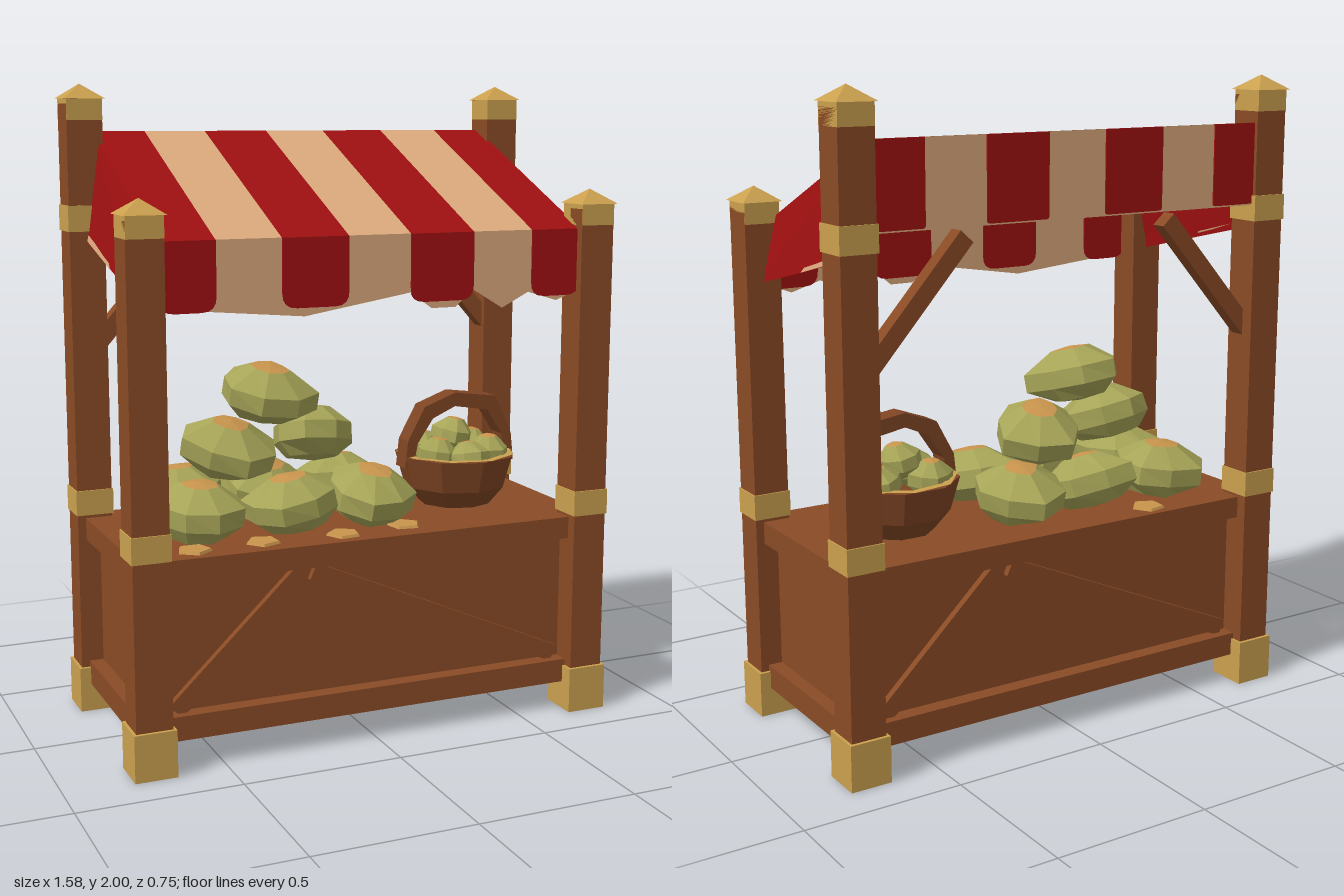
import * as THREE from 'three';

const mat = (name, color, side = THREE.FrontSide) => {
  const m = new THREE.MeshStandardMaterial({ color, side, flatShading: true });
  m.name = name;
  return m;
};
const wood = mat('wood', 0x8a4b25);
const gold = mat('gold', 0xcaa04e);
const red = mat('red cloth', 0xa01011, THREE.DoubleSide);
const tan = mat('tan cloth', 0xdca87c, THREE.DoubleSide);
const leaf = mat('cabbage green', 0xa6a457);
const tip = mat('cabbage tip', 0xc8944c);
const weave = mat('basket', 0x7f4523, THREE.DoubleSide);

function add(parent, name, geo, material, x = 0, y = 0, z = 0) {
  const m = new THREE.Mesh(geo, material);
  m.name = name;
  m.position.set(x, y, z);
  parent.add(m);
  return m;
}
const box = (p, name, material, w, h, d, x, y, z) =>
  add(p, name, new THREE.BoxGeometry(w, h, d), material, x, y, z);

// Flat cloth panel from four corners
function quad(p, name, material, ...c) {
  const g = new THREE.BufferGeometry().setFromPoints(
    [0, 1, 2, 0, 2, 3].map(i => new THREE.Vector3(...c[i])));
  g.computeVertexNormals();
  return add(p, name, g, material);
}

// Plank lying in the xy plane between two points
function plank(p, name, x1, y1, x2, y2, z, width, depth) {
  const m = box(p, name, wood, Math.hypot(x2 - x1, y2 - y1), width, depth, (x1 + x2) / 2, (y1 + y2) / 2, z);
  m.rotation.z = Math.atan2(y2 - y1, x2 - x1);
}

function makePost(name, x, z, height, bands) {
  const g = new THREE.Group();
  g.name = name;
  box(g, 'postShaft', wood, 0.112, height - 0.12, 0.108, 0, height / 2, 0);
  box(g, 'postFoot', gold, 0.13, 0.145, 0.13, 0, 0.0725, 0);
  for (const y of bands) box(g, 'postBand', gold, 0.12, 0.08, 0.118, 0, y, 0);
  box(g, 'postCap', gold, 0.112, 0.07, 0.112, 0, height - 0.075, 0);
  const peak = new THREE.ConeGeometry(0.064 * Math.SQRT2, 0.045, 4).rotateY(Math.PI / 4);
  add(g, 'postPeak', peak, gold, 0, height - 0.0225, 0);
  g.position.set(x, 0, z);
  return g;
}

function makeCounter() {
  const g = new THREE.Group();
  g.name = 'counter';
  box(g, 'counterBody', wood, 1.42, 0.53, 0.56, 0, 0.36, 0);
  box(g, 'counterTop', wood, 1.5, 0.03, 0.65, 0, 0.625, 0);
  box(g, 'counterBase', wood, 1.5, 0.02, 0.65, 0, 0.10, 0);
  for (const s of [-1, 1]) {
    // Long-side rails and the pair of diagonals, turned around for the back
    const side = new THREE.Group();
    side.name = s > 0 ? 'frontFrame' : 'backFrame';
    box(side, 'topRail', wood, 1.34, 0.07, 0.05, 0, 0.605, 0.305);
    box(side, 'bottomRail', wood, 1.34, 0.075, 0.05, 0, 0.1275, 0.305);
    plank(side, 'shortDiagonal', -0.64, 0.17, -0.24, 0.55, 0.288, 0.055, 0.03);
    plank(side, 'longDiagonal', -0.2, 0.55, 0.64, 0.18, 0.286, 0.055, 0.03);
    side.rotation.y = s > 0 ? 0 : Math.PI;
    g.add(side);
    // End rails
    box(g, 'endTopRail', wood, 0.05, 0.07, 0.54, s * 0.73, 0.605, 0);
    box(g, 'endBottomRail', wood, 0.05, 0.075, 0.54, s * 0.73, 0.1275, 0);
  }
  return g;
}

// Hanging cloth with a tan backing and red stripes on both faces
const EDGES = [-0.68, -0.51, -0.31, -0.1, 0.1, 0.31, 0.51, 0.68];
function makeValance(name, z, top, bottom, hem, round) {
  const g = new THREE.Group();
  g.name = name;
  const back = new THREE.Shape([[-0.68, top], ...hem, [0.68, top]].map(p => new THREE.Vector2(...p)));
  add(g, 'tanCloth', new THREE.ShapeGeometry(back), tan);
  for (let i = 0; i < 7; i += 2) {
    const a = EDGES[i], b = EDGES[i + 1], s = new THREE.Shape();
    s.moveTo(a, top);
    s.lineTo(a, bottom + round);
    s.quadraticCurveTo(a, bottom, a + round, bottom);
    s.lineTo(b - round, bottom);
    s.quadraticCurveTo(b, bottom, b, bottom + round);
    s.lineTo(b, top);
    add(g, 'redStripe', new THREE.ExtrudeGeometry(s, { depth: 0.008, bevelEnabled: false, curveSegments: 4 }), red, 0, 0, -0.004);
  }
  g.position.z = z;
  return g;
}

function makeAwning() {
  const g = new THREE.Group();
  g.name = 'awning';
  const back = [1.855, -0.345], front = [1.56, 0.335];
  for (let i = 0; i < 7; i++) {
    const a = EDGES[i], b = EDGES[i + 1];
    quad(g, 'roofStripe', i % 2 ? tan : red, [a, ...back], [a, ...front], [b, ...front], [b, ...back]);
  }
  g.add(makeValance('frontValance', 0.335, 1.56, 1.355,
    [[-0.68, 1.37], [-0.24, 1.33], [0.1, 1.385], [0.17, 1.335], [0.25, 1.335], [0.31, 1.385],
      [0.41, 1.325], [0.5, 1.37], [0.6, 1.34], [0.68, 1.37]], 0.045));
  g.add(makeValance('backValance', -0.35, 1.855, 1.605, [[-0.68, 1.6], [0.68, 1.6]], 0.01));
  // Flared end drapes with a tan hem patch towards the back
  for (const s of [-1, 1]) {
    const t = s * 0.68, b = s * 0.725;
    quad(g, 'endDrape', red, [t, ...back], [t, ...front], [b, 1.375, 0.335], [b, 1.535, -0.335]);
    quad(g, 'drapeHem', tan, [b + s * 0.001, 1.53, -0.3], [b + s * 0.001, 1.455, 0.0],
      [b - s * 0.003, 1.48, -0.03], [b - s * 0.003, 1.55, -0.3]);
  }
  return g;
}

// Faceted cabbage: uneven low-poly ball with an orange crown
function makeCabbage(x, y, z, rx, ry, rz, seed) {
  const geo = new THREE.SphereGeometry(1, 8, 5);
  const p = geo.attributes.position;
  for (let i = 0; i < p.count; i++) {
    const vx = p.getX(i), vy = p.getY(i), vz = p.getZ(i);
    const n = 1 + 0.11 * Math.sin(seed * 7.3 + vx * 5.1 + vy * 9.7 + vz * 6.3 + 4 * vx * vz);
    const pinch = vy > 0.7 && vy < 0.95 ? 0.68 : 1.08;
    p.setXYZ(i, vx * n * pinch, vy > 0.7 && vy < 0.95 ? 0.92 : Math.max(vy, -0.95), vz * n * pinch);
  }
  geo.computeVertexNormals();
  geo.clearGroups();
  geo.addGroup(0, 24, 1);
  geo.addGroup(24, Infinity, 0);
  const m = new THREE.Mesh(geo, [leaf, tip]);
  m.name = 'cabbage';
  m.scale.set(rx, ry, rz);
  m.rotation.set(Math.sin(seed * 3) * 0.2, seed * 1.7, Math.cos(seed * 5) * 0.2);
  m.position.set(x, y, z);
  return m;
}

function makeBasket() {
  const g = new THREE.Group();
  g.name = 'basket';
  const profile = [[0, 0], [0.12, 0], [0.17, 0.06], [0.2, 0.165], [0.18, 0.165], [0.15, 0.1], [0, 0.1]];
  add(g, 'basketBowl', new THREE.LatheGeometry(profile.map(p => new THREE.Vector2(...p)), 9), weave);
  add(g, 'basketRim', new THREE.RingGeometry(0.17, 0.197, 9).rotateX(-Math.PI / 2), gold, 0, 0.168, 0);
  // Arched handle
  const outer = [[-0.2, 0.13], [-0.19, 0.22], [-0.13, 0.33], [-0.02, 0.37], [0.13, 0.35], [0.19, 0.22], [0.2, 0.13]];
  const inner = [[0.17, 0.13], [0.155, 0.22], [0.1, 0.305], [-0.02, 0.325], [-0.1, 0.29], [-0.155, 0.21], [-0.17, 0.13]];
  const arch = new THREE.Shape([...outer, ...inner].map(p => new THREE.Vector2(...p)));
  add(g, 'basketHandle', new THREE.ExtrudeGeometry(arch, { depth: 0.07, bevelEnabled: false }), weave, 0, 0, -0.035);
  const small = [[-0.09, 0.17, 0.05], [0.09, 0.17, 0.06], [0, 0.22, -0.02], [-0.08, 0.17, -0.08], [0.09, 0.17, -0.07], [0, 0.16, 0.1]];
  small.forEach((c, i) => g.add(makeCabbage(...c, 0.065, 0.06, 0.065, i + 20)));
  g.position.set(0.44, 0.64, -0.02);
  return g;
}

export function createModel() {
  const root = new THREE.Group();
  root.name = 'marketStall';
  for (const s of [-1, 1]) {
    root.add(makePost('frontPost', s * 0.725, 0.312, 1.68, [0.69]));
    root.add(makePost('backPost', s * 0.725, -0.312, 2, [0.69, 1.59]));
    plank(root, 'backBrace', s * 0.69, 1.2, s * 0.36, 1.57, -0.3, 0.055, 0.05);
  }
  root.add(makeCounter(), makeAwning(), makeBasket());

  // Pile of cabbages: two rows of three, then two, then one
  const pile = new THREE.Group();
  pile.name = 'cabbagePile';
  const spots = [
    [-0.5, 0.725, 0.12], [-0.2, 0.725, 0.13], [0.07, 0.725, 0.12],
    [-0.48, 0.725, -0.14], [-0.2, 0.725, -0.14], [0.06, 0.725, -0.13],
    [-0.38, 0.895, 0.02], [-0.05, 0.895, -0.07], [-0.23, 1.05, -0.02],
  ];
  spots.forEach((c, i) => pile.add(makeCabbage(...c, 0.148, 0.092, 0.138, i + 1)));
  // Loose leaves on the counter
  [[-0.56, 0.25], [-0.34, 0.24], [-0.08, 0.25], [0.14, 0.22], [-0.35, -0.26]].forEach(([x, z], i) => {
    const l = add(pile, 'looseLeaf', new THREE.CylinderGeometry(0.05, 0.055, 0.008, 5), tip, x, 0.644, z);
    l.rotation.y = i;
  });
  root.add(pile);
  return root;
}
